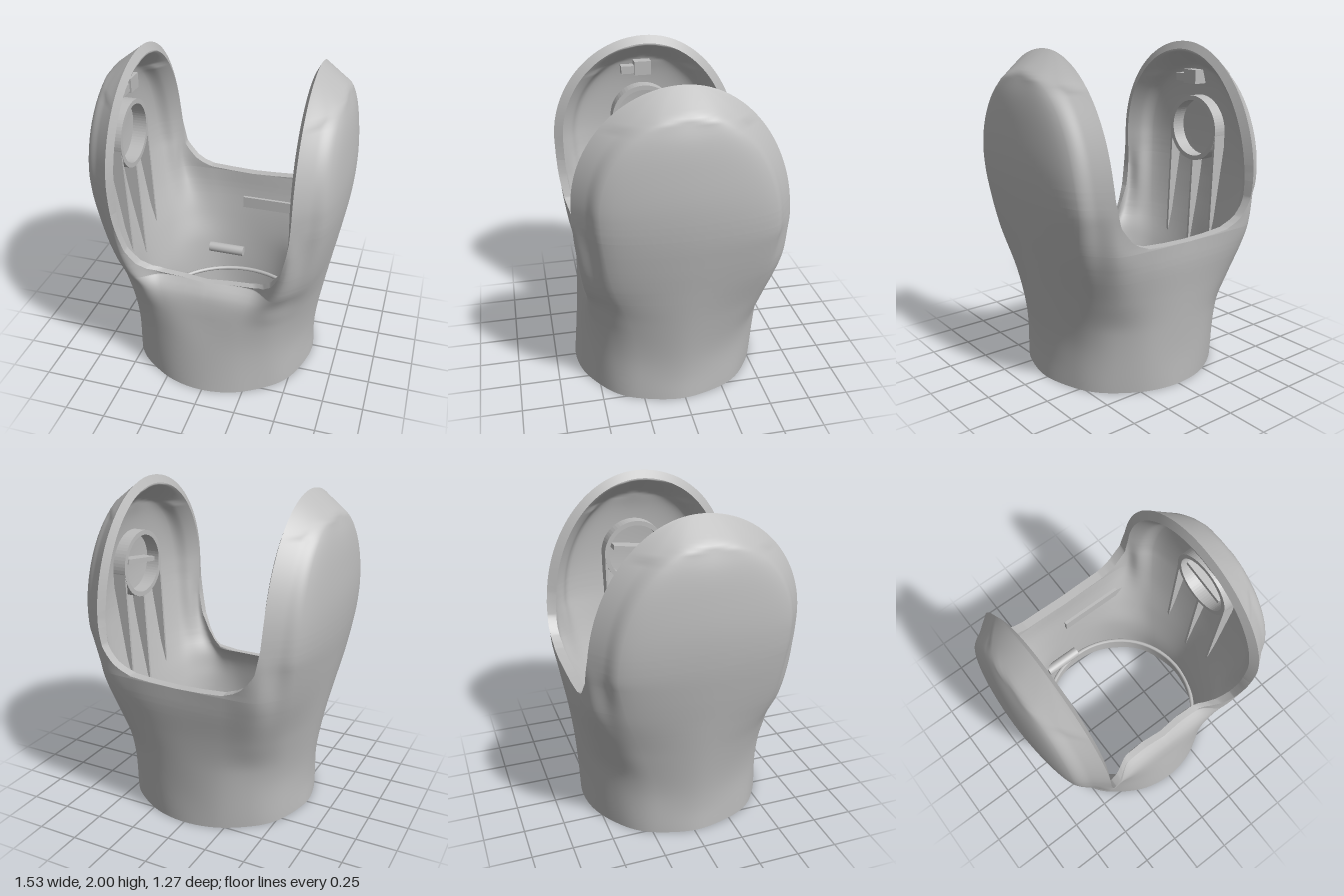
import * as THREE from 'three';
import { mergeVertices } from 'three/addons/utils/BufferGeometryUtils.js';

const V = (x, y, z) => new THREE.Vector3(x, y, z);
const { lerp, smoothstep, clamp } = THREE.MathUtils;

// Smooth (or straight) interpolation through [y, value] keys
function key(keys, y, smooth = true) {
  const n = keys.length - 1;
  if (y <= keys[0][0]) return keys[0][1];
  if (y >= keys[n][0]) return keys[n][1];
  let i = 0;
  while (y > keys[i + 1][0]) i++;
  const [y0, a] = keys[i], [y1, b] = keys[i + 1], h = y1 - y0, t = (y - y0) / h;
  if (!smooth) return lerp(a, b, t);
  const slope = k => {
    const p = keys[Math.max(k - 1, 0)], q = keys[Math.min(k + 1, n)];
    return (q[1] - p[1]) / (q[0] - p[0]);
  };
  const t2 = t * t, t3 = t2 * t;
  return a * (2 * t3 - 3 * t2 + 1) + b * (3 * t2 - 2 * t3)
    + h * (slope(i) * (t3 - 2 * t2 + t) + slope(i + 1) * (t3 - t2));
}
const dome = (y, cy, ry) => Math.sqrt(Math.max(0, 1 - ((y - cy) / ry) ** 2));

// Section guides: outer width, bevel corner, slot edge and centre lines
const WIDTH = [[0, .59], [.15, .585], [.3, .595], [.5, .625], [.8, .68], [1, .718], [1.2, .75], [1.4, .763], [1.6, .752], [1.75, .73], [1.88, .69]];
const BEVEL_X = [[0, .535], [.3, .54], [.6, .575], [.9, .635], [1.2, .68], [1.4, .692], [1.85, .688]];
const FRONT = {
  cy: 1.35, ry: .65, rz: .615, by: .53, bz: .48, gap: .185, sign: 1,
  mid: [[0, .62], [.3, .592], [.5, .57], [.6, .56], [.69, .538], [.75, .49]],
  sideX: [[0, .2], [.5, .22], [.75, .29]],
  sideZ: [[0, .585], [.3, .568], [.6, .558], [.69, .538], [.75, .49]],
  edgeX: [[0, .38], [.6, .385], [.69, .395], [.8, .45], [.95, .49], [1.2, .518], [1.4, .528], [2, .53]],
  edgeZ: [[0, .482], [.3, .49], [.5, .515], [.6, .54], [.7, .56], [.8, .582], [1, .61], [1.2, .63], [1.35, .635]],
  bevelZ: [[0, .28], [.3, .28], [.6, .34], [.9, .44], [1.2, .49], [1.35, .5]],
};
const BACK = {
  cy: 1.15, ry: .85, rz: .64, by: .73, bz: .51, gap: .141, sign: -1,
  mid: [[0, -.56], [.2, -.565], [.4, -.58], [.6, -.6], [.8, -.625], [.93, -.632]],
  sideX: [[0, .2], [.5, .24], [.9, .3]],
  sideZ: [[0, -.525], [.4, -.547], [.6, -.577], [.8, -.614], [.93, -.63]],
  edgeX: [[0, .38], [.4, .39], [.6, .42], [.8, .47], [.93, .495], [1.2, .518], [1.4, .528], [2, .53]],
  edgeZ: [[0, -.422], [.4, -.46], [.6, -.52], [.8, -.578], [.93, -.607], [1.15, -.62]],
  bevelZ: [[0, -.22], [.3, -.23], [.6, -.32], [.9, -.43], [1.15, -.49]],
};
// Where the fork opening cuts each section, as an index along its guide points
const CUT_FRONT = [[.745, 1], [.752, 1.5], [.765, 2], [.8, 2.4], [.85, 2.65], [.95, 2.85], [1.2, 3]];
const CUT_BACK = [[.93, 11], [.935, 10.5], [.945, 10], [.97, 9.7], [1, 9.5], [1.1, 9.15], [1.25, 9]];

const COLS = 100;

// One half of a horizontal section, running from the front cut to the back cut
function section(y, inner) {
  const width = y > 1.88 ? .53 + .16 * (2 - y) / .12 : key(WIDTH, y);
  const scaleIn = inner ? .91 : 1;
  const yy = inner && y > 1.3 ? 1.3 + (y - 1.3) * .93 : y;
  const insideX = (x, edge) => edge
    ? Math.min(x * lerp(.91, .995, smoothstep(y, .65, 1)), .505)
    : Math.max(x * (.91 + .015 * smoothstep(y, .3, 1)), y > 1.2 ? .505 : 0);
  const point = (x, z, edge = false) =>
    V(inner ? insideX(x, edge) : x, yy, .025 + (z - .025) * scaleIn);
  const quarter = s => {
    const edgeX = key(s.edgeX, y);
    const edgeZ = y < s.cy ? key(s.edgeZ, y) : .02 + s.sign * s.rz * dome(y, s.cy, s.ry);
    let bevelZ = y < s.cy ? key(s.bevelZ, y) : .02 + s.sign * s.bz * dome(y, s.cy, s.by);
    let bevelX = Math.min(key(BEVEL_X, y), width);
    let midX = (edgeX + bevelX) / 2, midZ = (edgeZ + bevelZ) / 2;
    const puff = 1 + .035 * (1 - smoothstep(y, .6, 1.15));
    if (y > 1.8) {
      // Crown: the bevel closes over the top as a cone
      const reach = s.sign * Math.max(s.sign * (bevelZ - .02), .4 * s.sign * (edgeZ - .02));
      const cone = z => .53 + .16 * clamp((1 - Math.hypot((z - .02) / s.rz, (y - s.cy) / s.ry)) / s.gap, 0, 1);
      bevelZ = .02 + reach;
      midZ = (edgeZ + bevelZ) / 2;
      bevelX = Math.min(cone(bevelZ), width);
      midX = cone(midZ);
    }
    // Above the slot the guide points continue the bevel line past the edge
    const k = smoothstep(y, .95, 1.25);
    const gx = lerp(key(s.sideX, y), 2 * edgeX - midX, k), gz = lerp(key(s.sideZ, y), 2 * edgeZ - midZ, k);
    return [point(-gx, gz, true), point(0, lerp(key(s.mid, y), gz, k), true), point(gx, gz, true),
      point(edgeX, edgeZ, true), point(midX * puff, midZ * puff), point(bevelX, bevelZ)];
  };
  const curve = new THREE.CatmullRomCurve3(
    [...quarter(FRONT), point(width, .02), ...quarter(BACK).reverse()], false, 'centripetal');
  const from = key(CUT_FRONT, y, false), to = key(CUT_BACK, y, false);
  return Array.from({ length: COLS + 1 }, (_, j) => curve.getPoint(clamp(1 + 10 * j / COLS, from, to) / 12));
}

// Skin over rows of points, mirrored to both sides and welded
function skin(rows, flip) {
  const pos = [], idx = [], w = rows[0].length;
  for (const side of [1, -1]) {
    const base = pos.length / 3;
    rows.forEach(r => r.forEach(p => pos.push(Math.abs(p.x) < 1e-6 ? 0 : p.x * side, p.y, p.z)));
    for (let i = 0; i < rows.length - 1; i++) for (let j = 0; j < w - 1; j++) {
      const a = base + i * w + j, b = a + 1, c = b + w, d = a + w;
      if ((side < 0) !== flip) idx.push(a, c, b, a, d, c);
      else idx.push(a, b, c, a, c, d);
    }
  }
  let g = new THREE.BufferGeometry();
  g.setAttribute('position', new THREE.Float32BufferAttribute(pos, 3));
  g.setIndex(idx);
  g = mergeVertices(g, 1e-4);
  g.computeVertexNormals();
  return g;
}

export function createModel() {
  const group = new THREE.Group();
  const grey = new THREE.MeshStandardMaterial({ color: 0xbcbcbc });
  grey.name = 'grey';
  grey.side = THREE.DoubleSide;
  const add = (name, geo, x = 0, y = 0, z = 0) => {
    const m = new THREE.Mesh(geo, grey);
    m.name = name;
    m.position.set(x, y, z);
    group.add(m);
    return m;
  };

  // Section heights: even up the sleeve, extra at the slot, denser at the crown
  const heights = [...CUT_FRONT, ...CUT_BACK].map(k => k[0]);
  for (let i = 0; i < 44; i++) heights.push(i * .03 + (i ? .0013 : 0));
  for (let i = 0; i <= 36; i++) heights.push(1.3 + .7 * Math.sin(i / 36 * Math.PI / 2));
  heights.sort((a, b) => a - b);
  const outer = heights.map(y => section(Math.min(y, 1.99999), false));
  const inner = heights.map(y => section(Math.min(y, 1.99999), true));

  // Forked shell
  add('outerShell', skin(outer, false));
  add('innerShell', skin(inner, true));
  add('baseRim', skin([inner[0], outer[0]], false));
  const edge = j => outer.map((r, i) => [r[j], inner[i][j]]).filter((_, i) => heights[i] >= (j ? .93 : .745));
  add('forkRim', skin([...edge(0), ...edge(COLS).reverse()], true));

  // Ledge inside the base
  const ledge = add('baseLedge', new THREE.TorusGeometry(.525, .014, 8, 64), 0, .17, .03);
  ledge.rotation.x = Math.PI / 2;

  // Pivot ring and three tapered ribs inside each fork arm
  const ringShape = new THREE.Shape().absarc(0, 0, .215, 0, Math.PI * 2);
  ringShape.holes.push(new THREE.Path().absarc(0, 0, .185, 0, Math.PI * 2, true));
  const ringGeo = new THREE.ExtrudeGeometry(ringShape, { depth: .11, bevelEnabled: false, curveSegments: 32 });
  for (const s of [1, -1]) {
    const ring = add('pivotRing', ringGeo, s * .605, 1.43, .02);
    ring.rotation.y = s * Math.PI / 2;
    for (const k of [-1, 0, 1]) {
      const top = k ? 1.43 : 1.23, foot = k ? .68 : .54;
      const rib = new THREE.Shape([[.578, foot], [.61, top], [.71, top], [.592, foot]]
        .map(([x, y]) => new THREE.Vector2(s * x, y)));
      add('armRib', new THREE.ExtrudeGeometry(rib, { depth: .016, bevelEnabled: false }), 0, 0, .012 + k * .205);
    }
  }
  const bar = add('pivotCrossbar', new THREE.BoxGeometry(.1, .03, .3), .665, 1.45, .02);
  bar.rotation.x = .15;

  // Hooked clip near the top of one arm
  add('clipBlock', new THREE.BoxGeometry(.1, .09, .11), -.63, 1.77, .03);
  add('clipHook', new THREE.BoxGeometry(.06, .05, .1), -.62, 1.76, .12);

  // Pegs and plate inside the sleeve
  for (const [name, y, z] of [['backPeg', .35, -.455], ['frontPeg', .3, .48]]) {
    const peg = add(name, new THREE.CylinderGeometry(.035, .035, .25, 20), -.155, y, z);
    peg.rotation.z = Math.PI / 2;
  }
  const plate = new THREE.Shape([[-.05, 0], [.38, 0], [.46, .04], [.38, .08], [-.05, .08]]
    .map(p => new THREE.Vector2(...p)));
  add('backPlate', new THREE.ExtrudeGeometry(plate, { depth: .02, bevelEnabled: false }), 0, .69, -.53);
  add('baseLatch', new THREE.BoxGeometry(.12, .12, .03), 0, .1, .55);
  return group;
}
